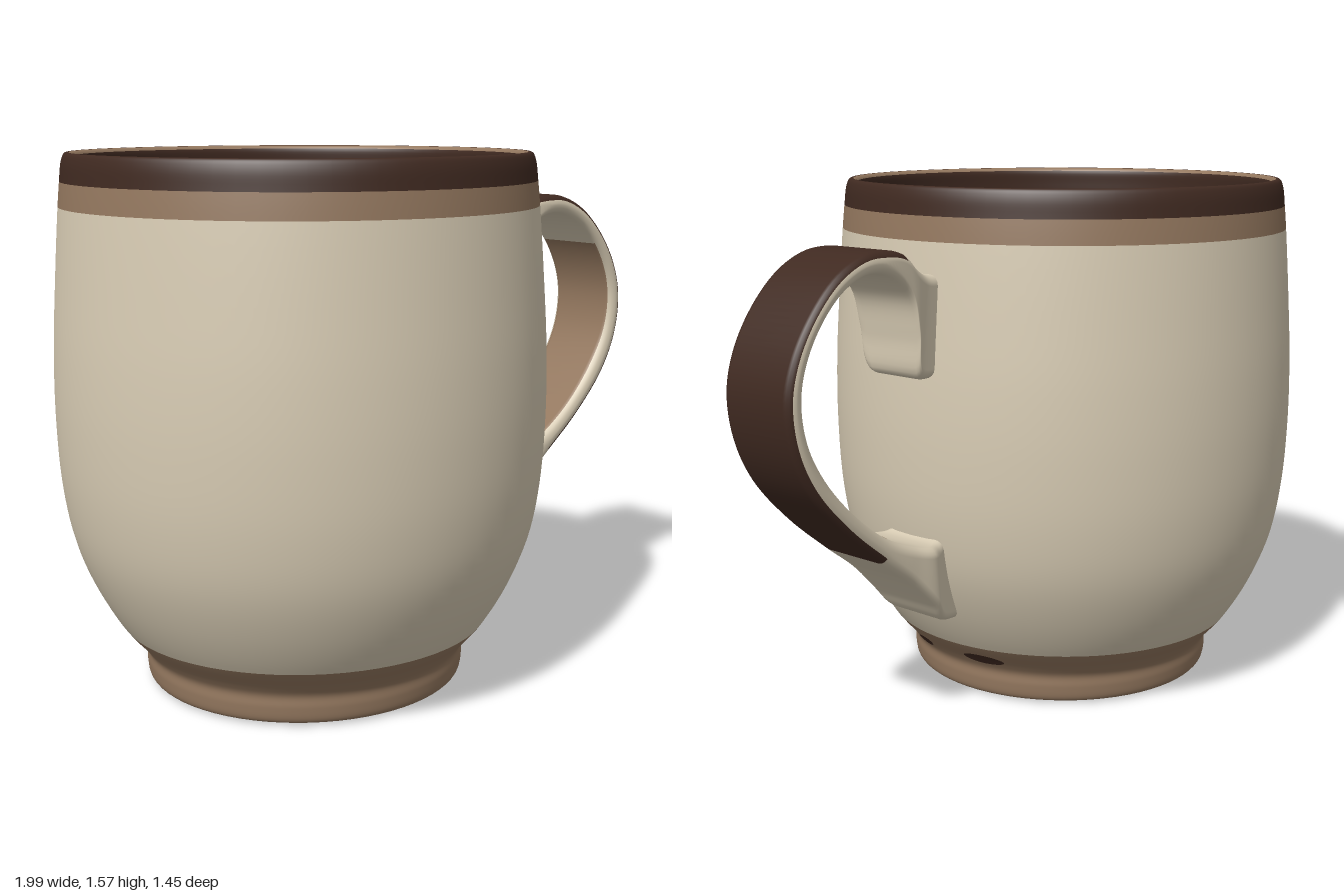
import * as THREE from 'three';

const material = (name, color) => {
  const m = new THREE.MeshStandardMaterial({ color });
  m.name = name;
  return m;
};

const AXIS = -0.28; // x of the cup's centre line
const STEPS = 6; // samples between neighbouring control points

const smooth = (pts) =>
  new THREE.CatmullRomCurve3(pts.map(([x, y]) => new THREE.Vector3(x, y, 0)))
    .getPoints((pts.length - 1) * STEPS);

// Strap handle: rounded rectangles spanning an outer and an inner curve
function strapGeometry(sections, darkRange, tanRange) {
  const outer = smooth(sections.map((s) => [s[0], s[1]]));
  const inner = smooth(sections.map((s) => [s[2], s[3]]));
  const widths = smooth(sections.map((s, i) => [i, s[4]]));
  const ARC = 5, RING = ARC * 4;
  const pos = [], faces = [[], [], []];
  const corners = [[1, 1], [-1, 1], [-1, -1], [1, -1]];
  outer.forEach((o, i) => {
    const mid = o.clone().add(inner[i]).multiplyScalar(0.5);
    const u = o.clone().sub(inner[i]);
    const half = u.length() / 2, w = widths[i].y;
    u.normalize();
    const c = Math.min(0.03, half * 0.9);
    corners.forEach(([sz, su], q) => {
      for (let k = 0; k < ARC; k++) {
        const a = (q + k / (ARC - 1)) * Math.PI / 2;
        const z = sz * (w - c) + c * Math.cos(a);
        const h = su * (half - c) + c * Math.sin(a);
        pos.push(mid.x + u.x * h, mid.y + u.y * h, z);
      }
    });
  });
  const within = (i, [a, b]) => i >= a * STEPS && i < b * STEPS;
  for (let i = 0; i < outer.length - 1; i++) {
    for (let j = 0; j < RING; j++) {
      const a = i * RING + j, b = i * RING + (j + 1) % RING;
      let colour = 0;
      if (j >= 1 && j <= 7 && within(i, darkRange)) colour = 1;
      if (j >= 13 && j <= 15 && within(i, tanRange)) colour = 2;
      faces[colour].push(a, a + RING, b, b, a + RING, b + RING);
    }
  }
  const g = new THREE.BufferGeometry();
  g.setAttribute('position', new THREE.Float32BufferAttribute(pos, 3));
  g.setIndex(faces.flat());
  let start = 0;
  faces.forEach((f, m) => {
    g.addGroup(start, f.length, m);
    start += f.length;
  });
  g.computeVertexNormals();
  return g;
}

export function createModel() {
  const cream = material('cream glaze', 0xd8ccb4);
  const tan = material('tan clay', 0x94785f);
  const dark = material('dark brown glaze', 0x402a21);
  const group = new THREE.Group();
  group.name = 'mug';
  const add = (name, geometry, mat) => {
    const mesh = new THREE.Mesh(geometry, mat);
    mesh.name = name;
    group.add(mesh);
    return mesh;
  };

  // One continuous profile: underside, outer wall, lip, inner wall, floor
  const profile = smooth([
    [0, 0], [0.46, 0], [0.475, 0.01], [0.482, 0.05], [0.482, 0.085], [0.5, 0.115],
    [0.555, 0.18], [0.625, 0.3], [0.68, 0.44], [0.71, 0.6], [0.722, 0.8], [0.72, 1.0],
    [0.708, 1.2], [0.692, 1.41], [0.685, 1.48], [0.678, 1.535], [0.668, 1.558],
    [0.656, 1.56], [0.642, 1.55], [0.64, 1.5], [0.645, 1.27], [0.655, 0.9],
    [0.645, 0.6], [0.6, 0.36], [0.575, 0.3], [0.545, 0.3], [0.505, 0.38],
    [0.49, 0.385], [0, 0.385],
  ]).map((p) => new THREE.Vector2(Math.max(0, p.x), p.y));

  // Colour bands, each between two control points of the profile
  [
    ['underside', 0, 1, dark],
    ['foot', 1, 6, tan],
    ['outerWall', 6, 13, cream],
    ['outerStripe', 13, 14, tan],
    ['rimBand', 14, 17, dark],
    ['lipLine', 17, 18, tan],
    ['innerRimBand', 18, 20, dark],
    ['innerWall', 20, 26, cream],
    ['innerFloor', 26, 28, tan],
  ].forEach(([name, a, b, mat]) => {
    const band = profile.slice(a * STEPS, b * STEPS + 1);
    add(name, new THREE.LatheGeometry(band, 72), mat).position.x = AXIS;
  });

  // Handle sections: outer x, y, inner x, y, half width
  const sections = [
    [0.38, 1.32, 0.4, 1.03, 0.1],
    [0.45, 1.325, 0.485, 1.04, 0.11],
    [0.5, 1.35, 0.5, 1.15, 0.12],
    [0.55, 1.39, 0.525, 1.26, 0.125],
    [0.62, 1.405, 0.6, 1.33, 0.13],
    [0.7, 1.4, 0.69, 1.345, 0.13],
    [0.8, 1.355, 0.78, 1.31, 0.13],
    [0.89, 1.27, 0.86, 1.235, 0.13],
    [0.96, 1.16, 0.915, 1.14, 0.13],
    [0.99, 1.05, 0.935, 1.05, 0.13],
    [0.975, 0.92, 0.92, 0.94, 0.13],
    [0.92, 0.8, 0.86, 0.825, 0.13],
    [0.8, 0.665, 0.755, 0.705, 0.13],
    [0.66, 0.545, 0.63, 0.61, 0.13],
    [0.55, 0.46, 0.53, 0.565, 0.135],
    [0.46, 0.37, 0.47, 0.55, 0.14],
    [0.41, 0.31, 0.43, 0.55, 0.12],
    [0.33, 0.29, 0.38, 0.57, 0.1],
  ];
  add('handle', strapGeometry(sections, [3, 13], [7, 13]), [cream, dark, tan]);

  // Small glaze spots on the foot below the handle, wrapped onto the wall
  [[0.14, 0.035], [-0.105, 0.068]].forEach(([z, w]) => {
    const g = new THREE.CircleGeometry(1, 20);
    const p = g.attributes.position;
    for (let i = 0; i < p.count; i++) {
      const y = 0.133 + p.getY(i) * 0.018;
      const pz = z - p.getX(i) * w;
      const r = 0.5 + (y - 0.115) * 0.85 + 0.007;
      p.setXYZ(i, AXIS + Math.sqrt(r * r - pz * pz), y, pz);
    }
    g.computeVertexNormals();
    add('glazeSpot', g, dark);
  });

  return group;
}
